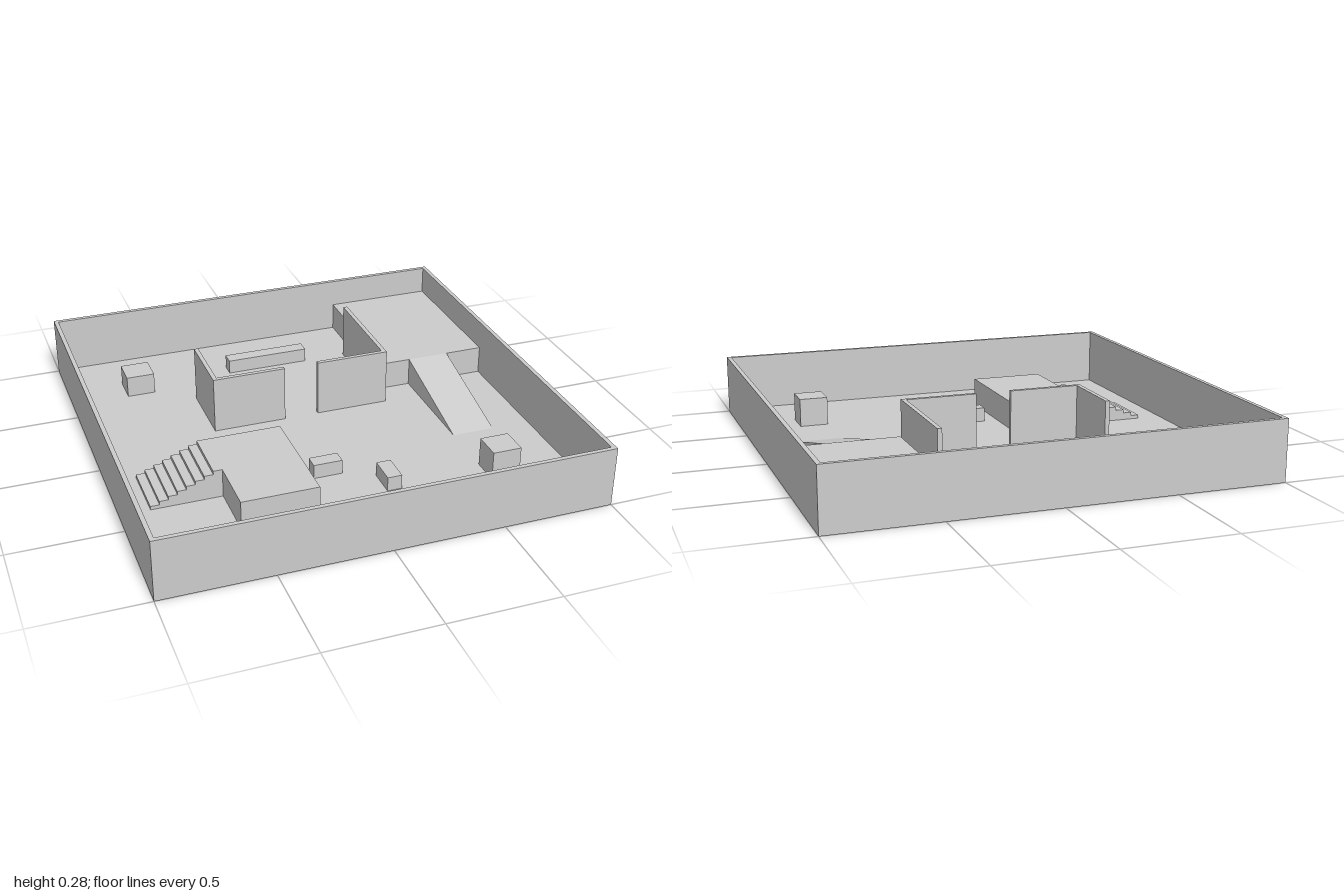
import * as THREE from 'three';

const U = 1 / 15;        // one building unit; the arena is 30 units wide
const FLOOR = 0.2;       // floor slab thickness in units

export function createModel() {
  const arena = new THREE.Group();
  arena.name = 'arena';
  const grey = new THREE.MeshStandardMaterial({ color: 0xcccccc });
  grey.name = 'plainGrey';

  // Box given by its plan rectangle, base height and top height, in units
  function block(name, x0, x1, z0, z1, height, base = FLOOR, parent = arena) {
    const geometry = new THREE.BoxGeometry((x1 - x0) * U, height * U, (z1 - z0) * U);
    const mesh = new THREE.Mesh(geometry, grey);
    mesh.name = name;
    mesh.position.set((x0 + x1) / 2 * U, (base + height / 2) * U, (z0 + z1) / 2 * U);
    parent.add(mesh);
    return mesh;
  }

  // Floor slab
  block('floor', -15, 15, -15, 15, FLOOR, 0);

  // Outer walls: one continuous square ring
  const ring = new THREE.Shape([[-15, -15], [15, -15], [15, 15], [-15, 15]]
    .map(([x, y]) => new THREE.Vector2(x * U, y * U)));
  ring.holes.push(new THREE.Path([[-14.7, -14.7], [-14.7, 14.7], [14.7, 14.7], [14.7, -14.7]]
    .map(([x, y]) => new THREE.Vector2(x * U, y * U))));
  const wallGeometry = new THREE.ExtrudeGeometry(ring, { depth: 4 * U, bevelEnabled: false });
  wallGeometry.rotateX(-Math.PI / 2).translate(0, FLOOR * U, 0);
  const walls = new THREE.Mesh(wallGeometry, grey);
  walls.name = 'outerWalls';
  arena.add(walls);

  // Two L-shaped partitions either side of a doorway
  block('leftPartitionFront', -6.4, -1.25, -2.4, -2.1, 4);
  block('leftPartitionSide', -6.4, -6.1, -7.1, -2.4, 4);
  block('rightPartitionFront', 1.2, 6.4, -2.4, -2.1, 4);
  block('rightPartitionSide', 6.1, 6.4, -10.05, -2.4, 4);

  // Raised corner platform with a ramp down to the floor
  block('cornerPlatform', 7, 14.7, -14.7, -4, 2);
  const wedge = new THREE.Shape([[4, 0], [-4, 2], [-4, 0]]
    .map(([z, y]) => new THREE.Vector2(-z * U, y * U)));
  const rampGeometry = new THREE.ExtrudeGeometry(wedge, { depth: 3 * U, bevelEnabled: false });
  rampGeometry.rotateY(Math.PI / 2).translate(9 * U, FLOOR * U, 0);
  const ramp = new THREE.Mesh(rampGeometry, grey);
  ramp.name = 'ramp';
  arena.add(ramp);

  // Free-standing platform with eight steps
  block('stairPlatform', -8.2, -3, 2, 10, 2);
  const stairs = new THREE.Group();
  stairs.name = 'stairs';
  arena.add(stairs);
  for (let i = 0; i < 8; i++) {
    block('step' + (i + 1), -13 + i * 0.6, -13 + (i + 1) * 0.6, 2, 6, (i + 1) * 0.25, FLOOR, stairs);
  }

  // Loose cover blocks
  block('backCrate', -11, -9, -11, -9, 1.5);
  block('frontCrate', 9, 11, 8, 10, 2);
  block('longBarrier', -3, 3, -11, -10, 1);
  block('smallBlockWide', -2, 0, 5, 6, 1);
  block('smallBlockDeep', 2, 3, 7, 9, 1);

  return arena;
}
